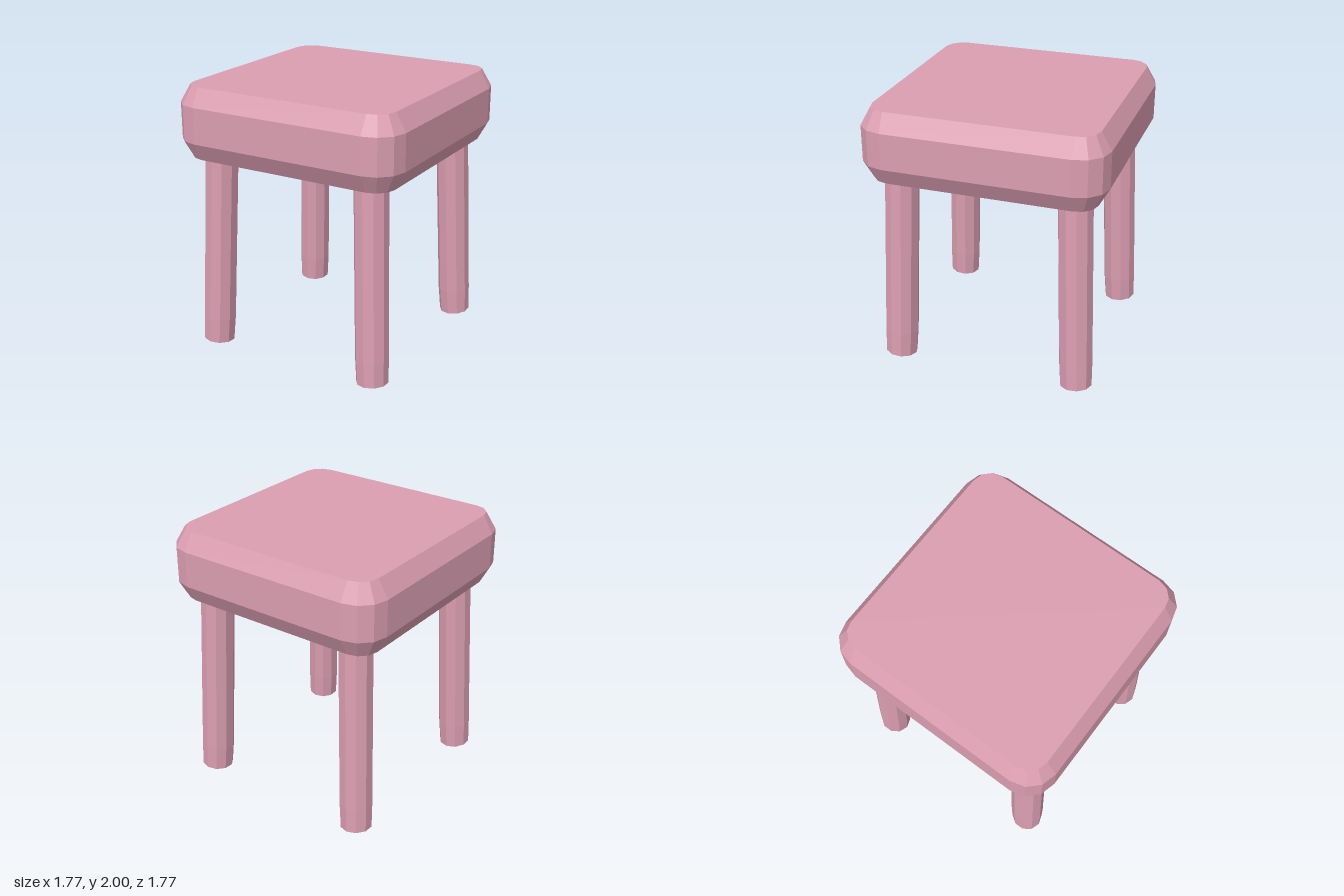
import * as THREE from 'three';

// Skin a stack of rings (each ordered from +z towards +x) and cap both ends.
function loft(rings) {
  const pos = [];
  const tri = (a, b, c) => pos.push(...a, ...b, ...c);
  const n = rings[0].length;
  for (let r = 0; r < rings.length - 1; r++) {
    for (let i = 0; i < n; i++) {
      const j = (i + 1) % n, lo = rings[r], hi = rings[r + 1];
      tri(lo[i], lo[j], hi[j]);
      tri(lo[i], hi[j], hi[i]);
    }
  }
  const bottom = rings[0], top = rings[rings.length - 1];
  for (let i = 1; i < n - 1; i++) {
    tri(bottom[0], bottom[i + 1], bottom[i]);
    tri(top[0], top[i], top[i + 1]);
  }
  const g = new THREE.BufferGeometry();
  g.setAttribute('position', new THREE.Float32BufferAttribute(pos, 3));
  g.computeVertexNormals();
  return g;
}

// Rounded square ring: four corners of three facets each
function seatRing(y, radius) {
  const ring = [], centre = 0.67;
  for (let c = 0; c < 4; c++) {
    const mid = (c + 0.5) * Math.PI / 2;
    const cx = centre * Math.sign(Math.sin(mid)), cz = centre * Math.sign(Math.cos(mid));
    for (let k = 0; k <= 3; k++) {
      const a = (c + k / 3) * Math.PI / 2;
      ring.push([cx + radius * Math.sin(a), y, cz + radius * Math.cos(a)]);
    }
  }
  return ring;
}

// Ten-sided leg ring, tipped slightly with the splay of the leg
function legRing(x, y, z, radius, sx, sz) {
  const ring = [], tilt = 0.06;
  for (let i = 0; i < 10; i++) {
    const a = i * Math.PI / 5;
    const dx = radius * 0.97 * Math.sin(a), dz = radius * Math.cos(a);
    ring.push([sx * x + dx, y + tilt * (dx * sx + dz * sz), sz * z + dz]);
  }
  return ring;
}

export function createModel() {
  const group = new THREE.Group();
  const pink = new THREE.MeshStandardMaterial({ color: 0xdb9eb1 });
  pink.name = 'dustyPink';
  const add = (name, geometry) => {
    const mesh = new THREE.Mesh(geometry, pink);
    mesh.name = name;
    group.add(mesh);
  };

  // Chamfered cushion-like seat
  const profile = [[1.47, 0.14], [1.605, 0.215], [1.87, 0.215], [2, 0.14]];
  add('seat', loft(profile.map(([y, r]) => seatRing(y, r))));

  // Four splayed legs with slightly narrowed feet
  for (const sx of [1, -1]) {
    for (const sz of [1, -1]) {
      add((sz > 0 ? 'front' : 'back') + (sx > 0 ? 'Left' : 'Right') + 'Leg', loft([
        legRing(0.671, 0.01, 0.69, 0.119, sx, sz),
        legRing(0.662, 0.2, 0.682, 0.125, sx, sz),
        legRing(0.616, 1.49, 0.636, 0.125, sx, sz),
      ]));
    }
  }
  return group;
}
